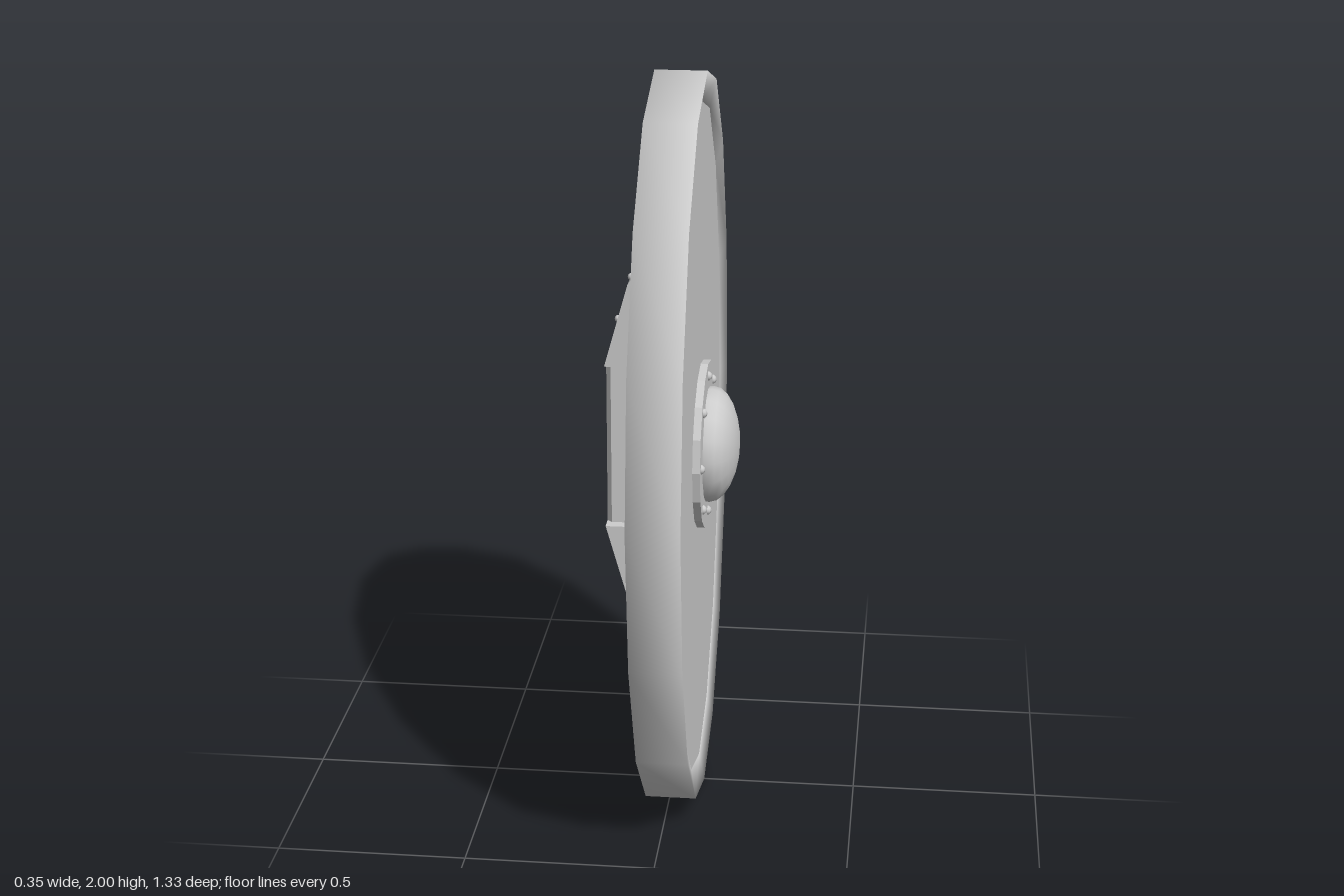
import * as THREE from 'three';

const SIDES = 16, HALF_H = 1, HALF_W = 0.665;
const grey = new THREE.MeshStandardMaterial({ color: 0xcccccc, side: THREE.DoubleSide });
grey.name = 'plain grey';

// Points of an oval polygon with a corner at the top
function oval(w, h) {
  return Array.from({ length: SIDES }, (_, i) => {
    const a = (i / SIDES) * Math.PI * 2;
    return new THREE.Vector2(Math.sin(a) * w, Math.cos(a) * h);
  });
}

// Plate in the YZ plane with a hole, from x0 to x1
function plate(w, h, hole, x0, x1) {
  const shape = new THREE.Shape(oval(w, h));
  shape.holes.push(new THREE.Path(oval(hole, hole)));
  return new THREE.ExtrudeGeometry(shape, { depth: x1 - x0, bevelEnabled: false })
    .rotateY(Math.PI / 2).translate(x0, 0, 0);
}

// Oval band with a four-cornered section and smooth shared normals
function rimGeometry() {
  const section = [[-0.05, 0], [0.085, 0], [0.07, 0.077], [-0.036, 0.077]];
  const pos = [], idx = [], n = section.length;
  for (let i = 0; i < SIDES; i++) {
    const a = (i / SIDES) * Math.PI * 2;
    for (const [x, inset] of section) {
      pos.push(x, Math.cos(a) * (HALF_H - inset), Math.sin(a) * (HALF_W - inset));
    }
    for (let j = 0; j < n; j++) {
      const k = (j + 1) % n, m = ((i + 1) % SIDES) * n;
      const p = i * n + j, q = i * n + k, r = m + k, s = m + j;
      idx.push(p, r, q, p, s, r);
    }
  }
  const g = new THREE.BufferGeometry();
  g.setAttribute('position', new THREE.Float32BufferAttribute(pos, 3));
  g.setIndex(idx);
  g.computeVertexNormals();
  return g;
}

export function createModel() {
  const model = new THREE.Group();
  model.name = 'ovalShield';
  const body = new THREE.Group();
  body.name = 'shieldBody';
  body.position.y = 1;
  model.add(body);

  const add = (name, geometry, parent = body) => {
    const mesh = new THREE.Mesh(geometry, grey);
    mesh.name = name;
    parent.add(mesh);
    return mesh;
  };

  // Board and rim
  add('rim', rimGeometry());
  add('board', plate(HALF_W - 0.076, HALF_H - 0.076, 0.15, -0.035, 0.07));

  // Central boss: flange, hollow dome and ring of rivets
  const boss = new THREE.Group();
  boss.name = 'boss';
  body.add(boss);
  add('bossFlange', plate(0.223, 0.223, 0.15, 0.069, 0.09), boss);
  const profile = [new THREE.Vector2(0.153, 0.085)];
  for (let i = 0; i <= 6; i++) {
    const a = (i / 6) * Math.PI / 2;
    profile.push(new THREE.Vector2(0.154 * Math.cos(a), 0.1 + 0.075 * Math.sin(a)));
  }
  add('bossDome', new THREE.LatheGeometry(profile, SIDES).rotateZ(-Math.PI / 2), boss);
  const rivet = new THREE.SphereGeometry(0.013, 8, 6);
  for (let i = 0; i < 8; i++) {
    const a = (i / 8) * Math.PI * 2;
    add('bossRivet', rivet, boss).position.set(0.088, Math.cos(a) * 0.19, Math.sin(a) * 0.19);
  }

  // Handle brackets, mirrored above and below the grip
  const handle = new THREE.Group();
  handle.name = 'handle';
  body.add(handle);
  const studs = new THREE.SphereGeometry(0.01, 8, 6);
  for (const s of [1, -1]) {
    const corners = [[-0.034, 0.225], [-0.034, 0.556], [-0.05, 0.556], [-0.115, 0.45], [-0.178, 0.225]];
    const shape = new THREE.Shape(corners.map(([x, y]) => new THREE.Vector2(x, y * s)));
    const bracket = new THREE.ExtrudeGeometry(shape, { depth: 0.116, bevelEnabled: false });
    add('handleBracket', bracket.translate(0, 0, -0.06), handle);
    for (const [x, y] of [[-0.111, 0.455], [-0.146, 0.34]]) {
      add('bracketRivet', studs, handle).position.set(x, y * s, 0);
    }
  }

  // Grip bar with chamfered corners
  const gx = 0.036, gz = 0.025, c = 0.013;
  const grip = new THREE.Shape([
    [gx, gz - c], [gx - c, gz], [c - gx, gz], [-gx, gz - c],
    [-gx, c - gz], [c - gx, -gz], [gx - c, -gz], [gx, c - gz],
  ].map(([x, y]) => new THREE.Vector2(x, y)));
  add('grip', new THREE.ExtrudeGeometry(grip, { depth: 0.46, bevelEnabled: false })
    .rotateX(-Math.PI / 2).translate(-0.142, -0.23, 0), handle);

  return model;
}
